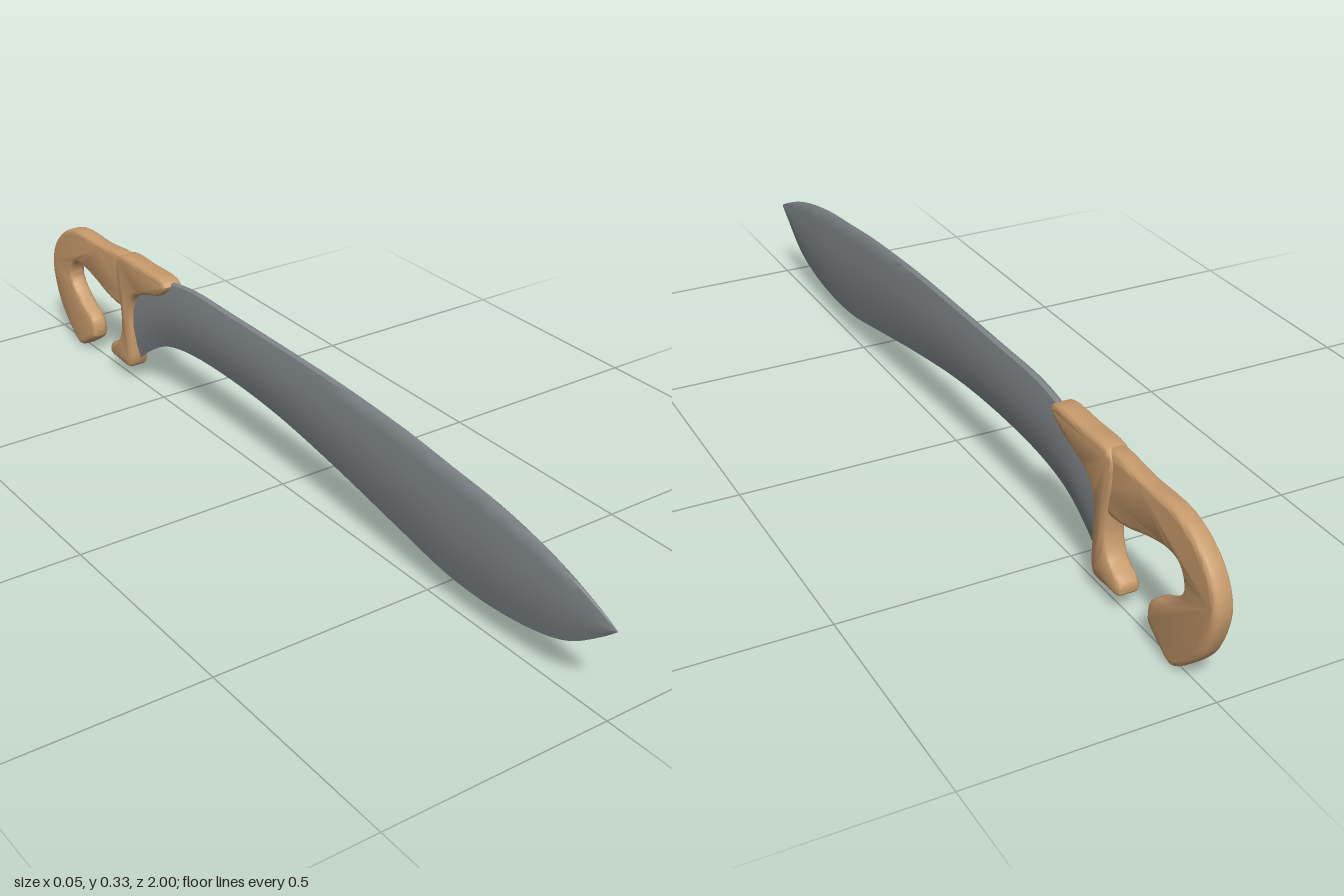
import * as THREE from 'three';
import { toCreasedNormals } from 'three/addons/utils/BufferGeometryUtils.js';

const steel = new THREE.MeshStandardMaterial({ color: 0x80868a, side: THREE.DoubleSide });
const wood = new THREE.MeshStandardMaterial({ color: 0xc89b6c });

// Smooth closed outline in (z, y), extruded across x with rounded edges
function carved(name, outline, halfWidth, bevel, x) {
  const curve = new THREE.CatmullRomCurve3(
    outline.map(([z, y]) => new THREE.Vector3(z, y, 0)), true, 'centripetal');
  const points = curve.getPoints(outline.length * 4).slice(0, -1);
  const shape = new THREE.Shape(points.map(p => new THREE.Vector2(p.x, p.y)));
  const depth = 2 * (halfWidth - bevel);
  const geometry = new THREE.ExtrudeGeometry(shape, {
    depth, bevelThickness: bevel, bevelSize: bevel, bevelOffset: -bevel, bevelSegments: 4
  });
  geometry.translate(0, 0, -depth / 2).rotateY(-Math.PI / 2).translate(x, 0, 0);
  const mesh = new THREE.Mesh(toCreasedNormals(geometry, 0.7), wood);
  mesh.name = name;
  return mesh;
}

// Blade lofted from lens-shaped sections: thick spine above, sharp edge below
function makeBlade() {
  // z, spine height, edge height
  const stations = new THREE.CatmullRomCurve3([
    [1, 0.19, 0.19], [0.965, 0.207, 0.16], [0.89, 0.238, 0.107], [0.81, 0.263, 0.08],
    [0.68, 0.29, 0.063], [0.55, 0.305, 0.066], [0.41, 0.32, 0.09], [0.19, 0.331, 0.13],
    [-0.02, 0.333, 0.16], [-0.2, 0.333, 0.17], [-0.37, 0.332, 0.165],
    [-0.475, 0.312, 0.145], [-0.545, 0.285, 0.11], [-0.625, 0.25, 0.05]
  ].map(p => new THREE.Vector3(...p)), false, 'centripetal');
  // fraction down from the spine, fraction of half thickness
  const side = [[0, 0], [0.03, 0.45], [0.15, 0.7], [0.35, 0.92], [0.55, 1], [0.8, 0.6], [1, 0]];
  const ring = [...side, ...side.slice(1, -1).reverse().map(([v, w]) => [v, -w])];
  const rows = 52, n = ring.length;
  const position = [], index = [];
  for (let i = 0; i <= rows; i++) {
    const s = stations.getPoint(i / rows);
    const half = 0.016 * Math.min(1, Math.sqrt(Math.max(0, 1 - s.x) / 0.3));
    for (const [v, w] of ring) {
      position.push(0.003 + half * w, THREE.MathUtils.lerp(s.y, s.z, v), s.x);
    }
  }
  for (let i = 0; i < rows; i++) {
    for (let j = 0; j < n; j++) {
      const a = i * n + j, b = i * n + (j + 1) % n;
      index.push(a, b, a + n, b, b + n, a + n);
    }
  }
  const geometry = new THREE.BufferGeometry();
  geometry.setAttribute('position', new THREE.Float32BufferAttribute(position, 3));
  geometry.setIndex(index);
  const mesh = new THREE.Mesh(toCreasedNormals(geometry, 0.7), steel);
  mesh.name = 'blade';
  return mesh;
}

export function createModel() {
  const model = new THREE.Group();
  model.name = 'curvedSword';
  model.add(makeBlade());

  // Collar over the spine, running down into the finger guard
  model.add(carved('guard', [
    [-0.44, 0.312], [-0.458, 0.325], [-0.55, 0.326], [-0.64, 0.325], [-0.662, 0.312],
    [-0.665, 0.26], [-0.655, 0.2], [-0.652, 0.14], [-0.668, 0.098], [-0.708, 0.07],
    [-0.71, 0.046], [-0.67, 0.04], [-0.62, 0.04], [-0.61, 0.055], [-0.608, 0.12],
    [-0.608, 0.19], [-0.588, 0.235], [-0.53, 0.262], [-0.47, 0.283]
  ], 0.0245, 0.01, 0));

  // Grip that curls down into an open hook
  model.add(carved('hookedGrip', [
    [-0.62, 0.315], [-0.75, 0.316], [-0.87, 0.314], [-0.94, 0.283], [-0.985, 0.235],
    [-1, 0.18], [-0.975, 0.095], [-0.94, 0.05], [-0.885, 0.004], [-0.868, 0.003],
    [-0.84, 0.018], [-0.8, 0.046], [-0.795, 0.06], [-0.802, 0.095], [-0.84, 0.12],
    [-0.877, 0.147], [-0.9, 0.18], [-0.885, 0.218], [-0.85, 0.228],
    [-0.78, 0.215], [-0.716, 0.195], [-0.657, 0.188], [-0.62, 0.2]
  ], 0.021, 0.012, -0.002));

  return model;
}
